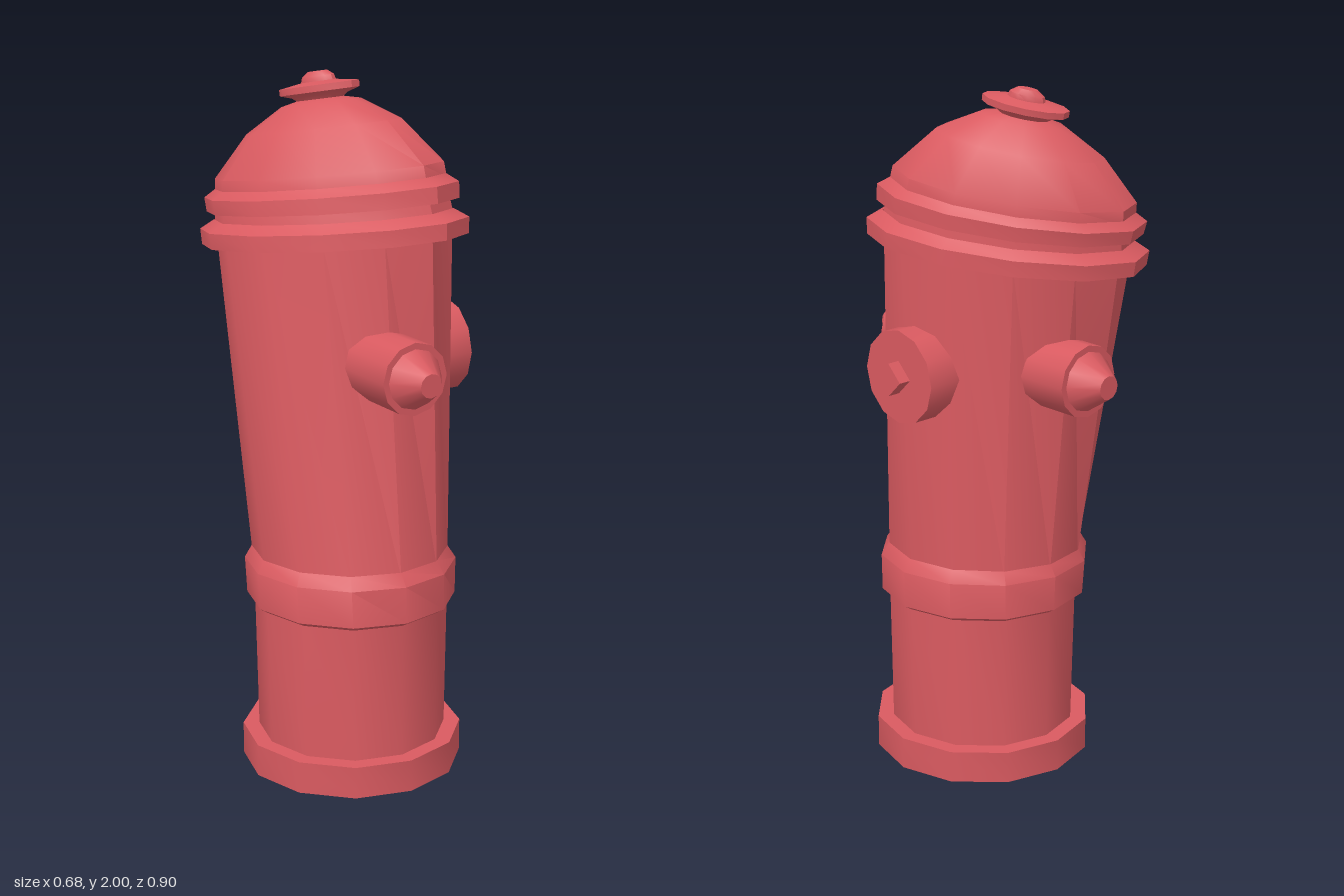
import * as THREE from 'three';
import { toCreasedNormals } from 'three/addons/utils/BufferGeometryUtils.js';

const red = new THREE.MeshStandardMaterial({ color: 0xd95a60, side: THREE.DoubleSide });
const SIDES = 12;
const CENTER_X = -0.02;

// Bend of the body by height: [y, z centre, z shear by x, tilt by x, tilt by z]
const BEND = [
  [0, 0.05, 0, 0, 0],
  [0.1, 0.05, 0, 0, 0],
  [0.57, 0.045, 0.06, 0, 0],
  [1.6, -0.055, 0.535, 0.09, 0.11],
  [1.95, -0.122, 0.69, 0.17, 0.2],
  [2.1, -0.15, 0.75, 0.17, 0.2],
];

function bendAt(y) {
  let i = 0;
  while (i < BEND.length - 2 && y > BEND[i + 1][0]) i++;
  const a = BEND[i], b = BEND[i + 1];
  const t = (y - a[0]) / (b[0] - a[0]);
  return a.map((v, j) => v + (b[j] - v) * t);
}

// Slant a straight turned part into the crooked stance
function bend(geometry) {
  const p = geometry.attributes.position;
  for (let i = 0; i < p.count; i++) {
    const x = p.getX(i), y = p.getY(i), z = p.getZ(i);
    const [, centre, shear, tiltX, tiltZ] = bendAt(y);
    p.setXYZ(i, x + CENTER_X, y + tiltX * x + tiltZ * z, z + shear * x + centre);
  }
  return geometry;
}

function lathe(profile) {
  return new THREE.LatheGeometry(profile.map(([r, y]) => new THREE.Vector2(r, y)), SIDES);
}

function part(name, geometry) {
  const mesh = new THREE.Mesh(toCreasedNormals(geometry, 0.6), red);
  mesh.name = name;
  return mesh;
}

export function createModel() {
  const group = new THREE.Group();
  group.name = 'hydrant';

  // Turned parts of the body, bottom to top, as [radius, height]
  const body = {
    baseFlange: [[0.32, 0], [0.32, 0.095], [0.273, 0.095]],
    lowerBarrel: [[0.273, 0.095], [0.273, 0.52]],
    middleBand: [[0.272, 0.49], [0.295, 0.505], [0.295, 0.61], [0.272, 0.645]],
    upperBarrel: [[0.272, 0.63], [0.268, 1.55]],
    lowerBonnetRing: [[0.262, 1.535], [0.305, 1.535], [0.305, 1.58], [0.27, 1.605]],
    bonnetNeck: [[0.27, 1.59], [0.262, 1.64]],
    upperBonnetRing: [[0.26, 1.63], [0.284, 1.63], [0.284, 1.672], [0.256, 1.695]],
    dome: [[0.258, 1.685], [0.253, 1.725], [0.168, 1.845], [0.085, 1.91], [0, 1.935]],
    finial: [[0.04, 1.91], [0.06, 1.93], [0.085, 1.94], [0.085, 1.958], [0.037, 1.968],
      [0.034, 1.982], [0.02, 1.996], [0, 1.996]],
  };
  for (const [name, profile] of Object.entries(body)) group.add(part(name, bend(lathe(profile))));

  // Hose outlets on the front and back
  const outlet = [[0.103, 0.1], [0.103, 0.372], [0.085, 0.372], [0.034, 0.45], [0, 0.45]];
  for (const [name, dir] of [['frontOutlet', 1], ['backOutlet', -1]]) {
    const mesh = part(name, lathe(outlet).rotateX(dir * Math.PI / 2));
    mesh.position.set(CENTER_X, 1.225, 0);
    group.add(mesh);
  }

  // Large cap with a square nut on the left side
  const cap = new THREE.Group();
  cap.name = 'sideCap';
  cap.position.set(0, 1.21, 0.047);
  const disc = lathe([[0, 0.1], [0.135, 0.1], [0.135, 0.3], [0, 0.3]]);
  cap.add(part('capDisc', disc.rotateZ(-Math.PI / 2)));
  const nut = new THREE.CylinderGeometry(0.047, 0.047, 0.06, 4).translate(0, 0.307, 0);
  cap.add(part('capNut', nut.rotateZ(-Math.PI / 2)));
  group.add(cap);

  return group;
}
